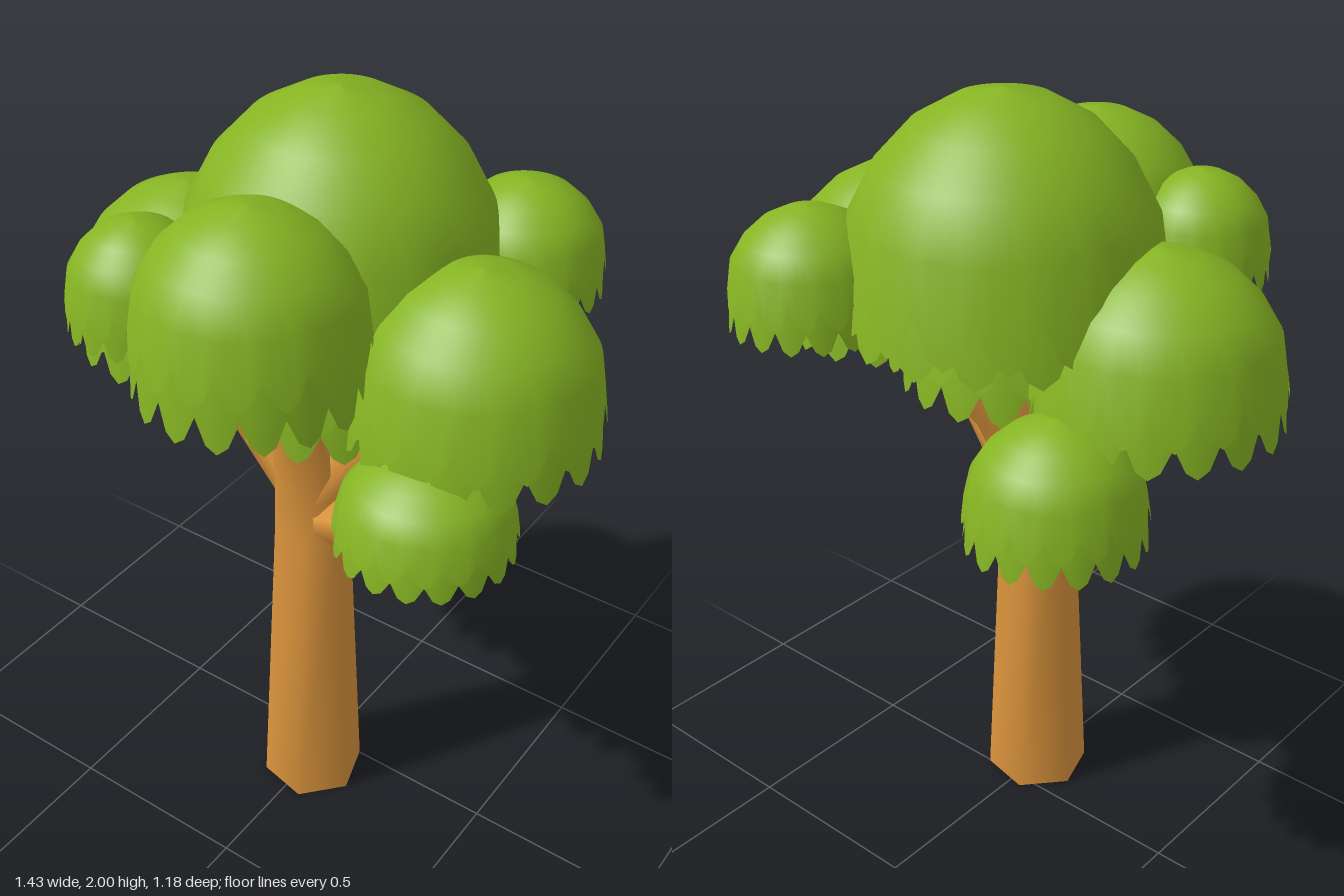
import * as THREE from 'three';

const bark = new THREE.MeshStandardMaterial({ color: 0xdb943c, side: THREE.DoubleSide });
bark.name = 'bark';
const leaf = new THREE.MeshStandardMaterial({ color: 0x86b423, side: THREE.DoubleSide });
leaf.name = 'leaf green';

function makeMesh(name, pos, index, material) {
  const geo = new THREE.BufferGeometry();
  geo.setAttribute('position', new THREE.Float32BufferAttribute(pos, 3));
  geo.setIndex(index);
  geo.computeVertexNormals();
  const mesh = new THREE.Mesh(geo, material);
  mesh.name = name;
  return mesh;
}

// Tapered six-sided limb, open at its foot; each stop is [x, y, z, radius]
function limb(name, stops, sides = 6) {
  const pts = stops.map(s => new THREE.Vector3(s[0], s[1], s[2]));
  const up = new THREE.Vector3(0, 1, 0);
  const pos = [], index = [];
  const rings = pts.map((p, i) => {
    const dir = pts[Math.min(i + 1, pts.length - 1)].clone().sub(pts[Math.max(i - 1, 0)]).normalize();
    // the foot ring stays level so the trunk stands flat
    const q = new THREE.Quaternion().setFromUnitVectors(up, i === 0 ? up : dir);
    return Array.from({ length: sides }, (_, j) => {
      const a = (j + 0.3) / sides * Math.PI * 2;
      return new THREE.Vector3(Math.sin(a), 0, Math.cos(a)).multiplyScalar(stops[i][3]).applyQuaternion(q).add(p);
    });
  });
  rings.forEach(r => r.forEach(v => pos.push(v.x, v.y, v.z)));
  for (let i = 0; i < rings.length - 1; i++) {
    for (let j = 0; j < sides; j++) {
      const k = (j + 1) % sides;
      const a = i * sides + j, b = i * sides + k, c = b + sides, d = a + sides;
      index.push(a, b, c, a, c, d);
    }
  }
  // flat cap on the tip
  const start = pos.length / 3;
  rings[rings.length - 1].forEach(v => pos.push(v.x, v.y, v.z));
  for (let j = 1; j < sides - 1; j++) index.push(start, start + j, start + j + 1);
  return makeMesh(name, pos, index, bark);
}

// Round leafy shell whose lower edge is cut into hanging petals; profile is [radius, y]
function leafShell(name, profile, tip, shift, petals = 17) {
  const n = petals * 4, pos = [], index = [];
  const last = profile.length - 1;
  profile.forEach(([r, y], i) => {
    for (let j = 0; j < n; j++) {
      const a = j / n * Math.PI * 2;
      const petal = i === last ? Math.pow(Math.abs(Math.sin((a * petals + shift) / 2)), 0.8) : 0;
      const bulge = i === last ? 0.98 + 0.03 * petal : 1;
      pos.push(Math.sin(a) * r * bulge, y - tip * petal, Math.cos(a) * r * bulge);
    }
  });
  for (let i = 0; i < last; i++) {
    for (let j = 0; j < n; j++) {
      const k = (j + 1) % n;
      const a = i * n + j, b = a + n, c = (i + 1) * n + k, d = i * n + k;
      index.push(a, b, c, a, c, d);
    }
  }
  return makeMesh(name, pos, index, leaf);
}

// One leaf clump: a dome with a petal edge and a second petal row below it
function clump(name, x, z, r, top, bottom, rim = 0.62) {
  const g = new THREE.Group();
  g.name = name;
  const H = top - bottom, dome = [];
  const end = 1.42;
  for (let i = 0; i <= 5; i++) {
    const t = i / 5 * end;
    dome.push([Math.max(0.0002, r * Math.sin(t)), -rim * H * (1 - Math.cos(t)) / (1 - Math.cos(end))]);
  }
  const tip = H * 0.18;
  g.add(leafShell('leafDome', dome, tip, 0));
  const skirt = [[r * 0.87, -H * (rim - 0.14)], [r * 0.95, -H * (rim + 0.04)], [r * 0.98, -H * 0.82]];
  g.add(leafShell('leafSkirt', skirt, tip, Math.PI));
  g.position.set(x, top, z);
  return g;
}

export function createModel() {
  const tree = new THREE.Group();
  tree.name = 'tree';

  // Trunk and its forward-leaning leader
  tree.add(limb('trunk', [
    [0.007, 0, 0.1, 0.139], [0.018, 0.9, 0.107, 0.098], [0.02, 1.06, 0.117, 0.09],
    [0.02, 1.25, 0.165, 0.066], [0.02, 1.37, 0.24, 0.05], [0.02, 1.43, 0.36, 0.04],
  ]));

  // Branches
  const branches = {
    lowerLeftBranch: [[0.01, 0.93, 0.1, 0.07], [0.14, 0.975, 0.13, 0.07], [0.28, 1.03, 0.18, 0.05], [0.38, 1.13, 0.22, 0.035], [0.43, 1.22, 0.24, 0.02]],
    lowerRightBranch: [[0.015, 0.95, 0.1, 0.085], [-0.16, 0.995, -0.06, 0.073], [-0.33, 1.045, -0.2, 0.048], [-0.41, 1.12, -0.27, 0.025]],
    upperRightBranch: [[0.01, 1.0, 0.1, 0.085], [-0.16, 1.19, 0.11, 0.065], [-0.31, 1.36, 0.13, 0.03]],
    upperLeftBranch: [[0.03, 1.0, 0.1, 0.085], [0.16, 1.2, 0.07, 0.06], [0.31, 1.38, 0.05, 0.03]],
    backBranch: [[0.02, 0.93, 0.1, 0.088], [0.07, 1.14, 0.03, 0.082], [0.185, 1.4, -0.2, 0.022]],
  };
  for (const [name, stops] of Object.entries(branches)) tree.add(limb(name, stops));

  // Leaf clumps: x, z, radius, top, bottom
  tree.add(
    clump('topClump', -0.025, -0.075, 0.4, 2.0, 1.44, 0.75),
    clump('innerClump', 0.01, 0.025, 0.3, 1.66, 1.25),
    clump('frontClump', 0.005, 0.31, 0.28, 1.875, 1.43, 0.58),
    clump('rightClump', -0.415, 0.015, 0.302, 1.69, 1.27, 0.66),
    clump('leftClump', 0.415, 0.02, 0.302, 1.725, 1.29, 0.66),
    clump('frontRightClump', -0.29, 0.34, 0.175, 1.77, 1.5),
    clump('backLeftClump', 0.295, -0.39, 0.203, 1.74, 1.45),
    clump('lowerLeftClump', 0.43, 0.24, 0.214, 1.365, 1.12),
    clump('lowerRightClump', -0.35, -0.275, 0.217, 1.36, 1.05),
  );
  return tree;
}
